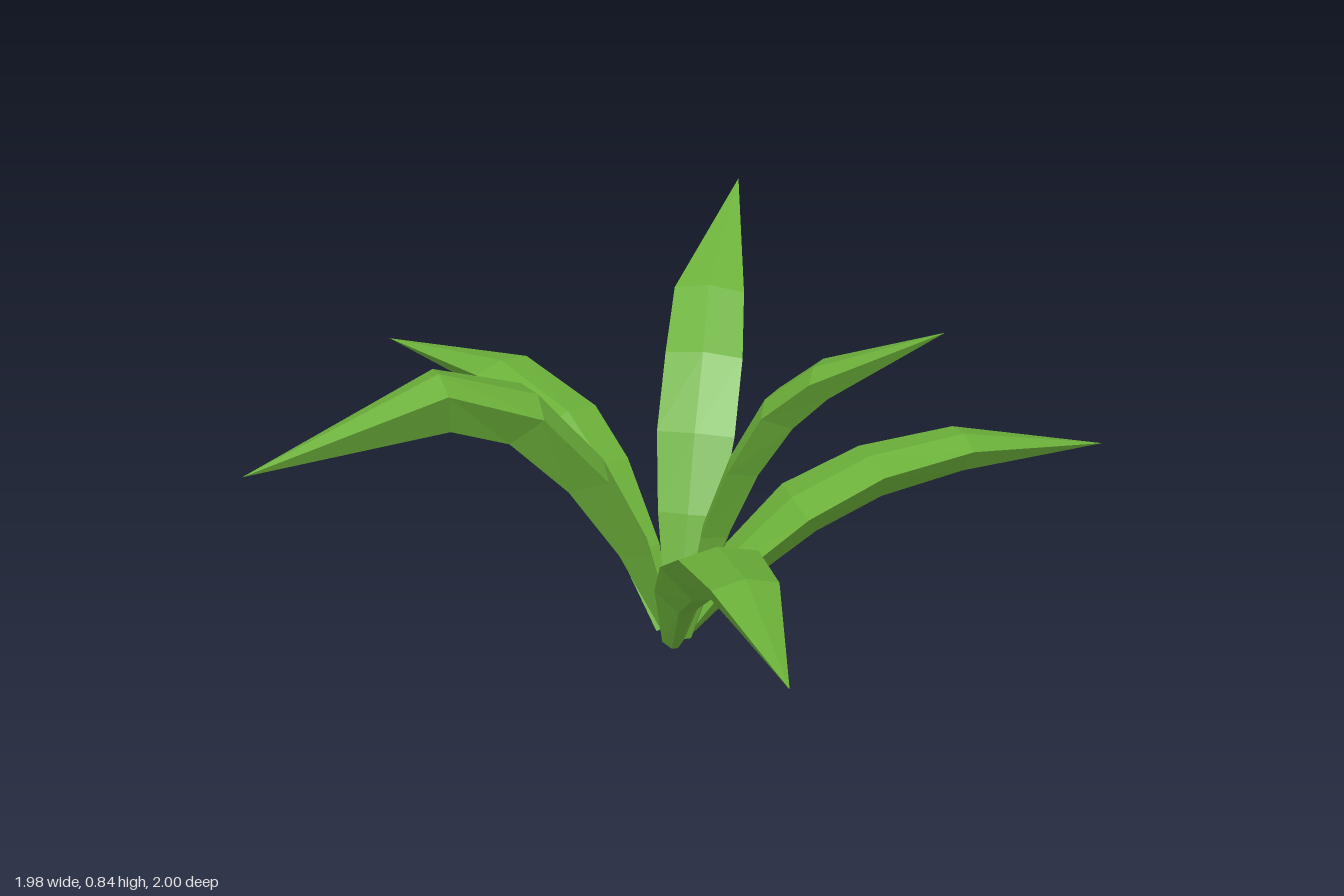
import * as THREE from 'three';

const material = new THREE.MeshStandardMaterial({ color: 0x6cb13a, flatShading: true });

// Leaf cross-section as [across, up]: rim, low ridge, rim, narrow keel
const SECTION = [[-1, 0], [0, 0.2], [1, 0], [0.28, -1], [-0.28, -1]];

// Each leaf is a path of rings [x, y, z, half width, keel depth], ending in a point
const LEAVES = {
  rightLeaf: [
    [-0.05, 0.02, -0.055, 0.025, 0.02], [-0.12, 0.27, -0.055, 0.07, 0.06], [-0.22, 0.48, -0.055, 0.09, 0.085],
    [-0.36, 0.655, -0.055, 0.09, 0.1], [-0.56, 0.735, -0.05, 0.068, 0.11], [-0.99, 0.58, -0.06, 0, 0],
  ],
  leftLeaf: [
    [-0.02, 0.02, -0.06, 0.025, 0.02], [0.07, 0.16, -0.06, 0.06, 0.06], [0.24, 0.3, -0.06, 0.088, 0.08],
    [0.42, 0.37, -0.06, 0.08, 0.08], [0.64, 0.39, -0.06, 0.065, 0.07], [0.985, 0.32, -0.06, 0, 0],
  ],
  frontLeaf: [
    [-0.06, 0.02, -0.02, 0.025, 0.02], [-0.08, 0.23, 0.1, 0.06, 0.06], [-0.085, 0.36, 0.22, 0.08, 0.08],
    [-0.095, 0.475, 0.39, 0.085, 0.09], [-0.12, 0.54, 0.63, 0.07, 0.09], [-0.16, 0.53, 1.0, 0, 0],
  ],
  frontLeftLeaf: [
    [-0.03, 0.02, -0.04, 0.025, 0.02], [0.02, 0.3, -0.02, 0.055, 0.05], [0.07, 0.48, 0.02, 0.07, 0.06],
    [0.13, 0.63, 0.07, 0.075, 0.07], [0.21, 0.725, 0.135, 0.065, 0.06], [0.44, 0.85, 0.28, 0, 0],
  ],
  backLeftLeaf: [
    [-0.03, 0.02, -0.08, 0.025, 0.02], [0.02, 0.26, -0.15, 0.07, 0.06], [0.06, 0.42, -0.22, 0.088, 0.08],
    [0.12, 0.55, -0.34, 0.088, 0.09], [0.18, 0.64, -0.48, 0.08, 0.085], [0.35, 0.77, -0.77, 0, 0],
  ],
  backRightLeaf: [
    [-0.06, 0.02, -0.08, 0.025, 0.02], [-0.08, 0.16, -0.19, 0.055, 0.06], [-0.12, 0.29, -0.36, 0.08, 0.08],
    [-0.16, 0.365, -0.49, 0.085, 0.085], [-0.25, 0.4, -0.72, 0.075, 0.07], [-0.45, 0.37, -1.0, 0, 0],
  ],
};

function leafGeometry(rings) {
  const points = rings.map(([x, y, z]) => new THREE.Vector3(x, y, z));
  const last = points.length - 1;
  const n = SECTION.length;
  const side = points[last].clone().sub(points[0]).setY(0).normalize()
    .cross(new THREE.Vector3(0, 1, 0));
  const positions = [];
  const index = [];

  // Rings of corners, square to the path
  for (let i = 0; i < last; i++) {
    const tangent = points[i + 1].clone().sub(points[Math.max(i - 1, 0)]).normalize();
    const up = side.clone().cross(tangent).normalize();
    const [, , , width, depth] = rings[i];
    for (const [a, b] of SECTION) {
      const corner = points[i].clone().addScaledVector(side, a * width).addScaledVector(up, b * depth);
      positions.push(corner.x, Math.max(corner.y, 0), corner.z);
    }
  }
  const tip = last * n;
  positions.push(...points[last].toArray());

  // Skin between rings, then the pointed end and the base cap
  for (let i = 0; i < last; i++) {
    for (let j = 0; j < n; j++) {
      const a = i * n + j;
      const b = i * n + (j + 1) % n;
      if (i === last - 1) index.push(a, b, tip);
      else index.push(a, b, b + n, a, b + n, a + n);
    }
  }
  for (let j = 1; j < n - 1; j++) index.push(0, j + 1, j);

  const geometry = new THREE.BufferGeometry();
  geometry.setAttribute('position', new THREE.Float32BufferAttribute(positions, 3));
  geometry.setIndex(index);
  const flat = geometry.toNonIndexed();
  flat.computeVertexNormals();
  return flat;
}

export function createModel() {
  const plant = new THREE.Group();
  plant.name = 'leafyPlant';
  for (const [name, rings] of Object.entries(LEAVES)) {
    const leaf = new THREE.Mesh(leafGeometry(rings), material);
    leaf.name = name;
    plant.add(leaf);
  }
  return plant;
}
